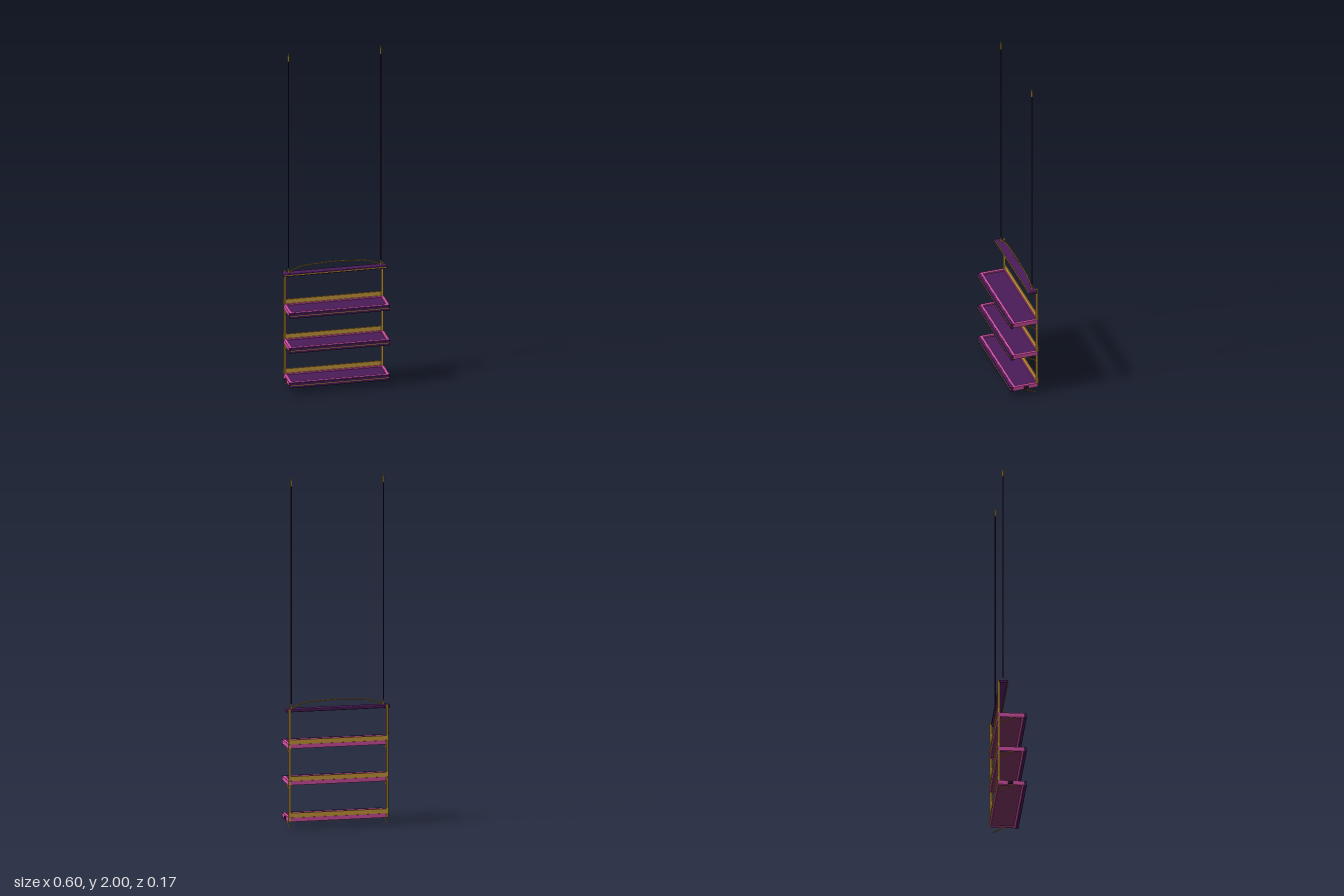
import * as THREE from 'three';
import { RoundedBoxGeometry } from 'three/addons/geometries/RoundedBoxGeometry.js';

const mat = (color) => new THREE.MeshStandardMaterial({ color });
const purple = mat(0x4a1c58), pink = mat(0xd14fa2), gold = mat(0xc9983a), dark = mat(0x2a1633), plum = mat(0x74305c);

function add(parent, name, geometry, material, x = 0, y = 0, z = 0) {
  const m = new THREE.Mesh(geometry, material);
  m.name = name;
  m.position.set(x, y, z);
  parent.add(m);
  return m;
}

// Box given by its min/max limits on each axis
function box(parent, name, material, [x0, x1], [y0, y1], [z0, z1], r = 0) {
  const s = [x1 - x0, y1 - y0, z1 - z0];
  const g = r ? new RoundedBoxGeometry(...s, 3, r) : new THREE.BoxGeometry(...s);
  return add(parent, name, g, material, (x0 + x1) / 2, (y0 + y1) / 2, (z0 + z1) / 2);
}

// Straight round bar between two points
function rod(parent, name, material, a, b, r) {
  const path = new THREE.LineCurve3(new THREE.Vector3(...a), new THREE.Vector3(...b));
  return add(parent, name, new THREE.TubeGeometry(path, 1, r, 8), material);
}

function makeShelf() {
  const s = new THREE.Group();
  s.name = 'shelf';
  // Tray: panel with a lighter underside, inside a raised frame
  box(s, 'shelfPanel', purple, [-0.275, 0.275], [0.05, 0.058], [-0.074, 0.058]);
  box(s, 'panelUnderside', plum, [-0.275, 0.275], [0.046, 0.05], [-0.074, 0.058]);
  box(s, 'trayFront', pink, [-0.288, 0.288], [0.041, 0.066], [0.053, 0.066]);
  box(s, 'trayBack', pink, [-0.288, 0.288], [0.041, 0.066], [-0.08, -0.073]);
  // Front bar with fine trim, and the back rail
  box(s, 'frontBar', purple, [-0.288, 0.288], [0.035, 0.067], [0.065, 0.081], 0.004);
  box(s, 'frontTrim', gold, [-0.286, 0.286], [0.0495, 0.0525], [0.079, 0.083]);
  box(s, 'backRail', gold, [-0.288, 0.288], [0.065, 0.093], [-0.085, -0.078], 0.002);
  for (const k of [-1, 1]) {
    add(s, 'traySide', new THREE.BoxGeometry(0.016, 0.025, 0.14), pink, k * 0.28, 0.0535, -0.007);
    // Diagonal support under each end
    rod(s, 'brace', gold, [k * 0.28, 0.005, -0.067], [k * 0.28, 0.046, 0.012], 0.0035);
  }
  return s;
}

export function createModel() {
  const model = new THREE.Group();
  model.name = 'hangingShelf';

  for (let i = 0; i < 3; i++) {
    const shelf = makeShelf();
    shelf.position.y = i * 0.209;
    model.add(shelf);
  }

  // Top board with trim strip
  box(model, 'topBoard', purple, [-0.298, 0.298], [0.665, 0.682], [-0.073, -0.026], 0.005);
  box(model, 'topTrim', gold, [-0.294, 0.294], [0.672, 0.676], [-0.028, -0.022]);

  // Bowed handle above the board
  const bow = [[-0.264, 0.684], [-0.19, 0.713], [-0.1, 0.721], [0, 0.725], [0.1, 0.721], [0.19, 0.713], [0.264, 0.684]];
  const curve = new THREE.CatmullRomCurve3(bow.map(([x, y]) => new THREE.Vector3(x, y, -0.053)));
  add(model, 'handle', new THREE.TubeGeometry(curve, 24, 0.0035, 8), gold);

  for (const k of [-1, 1]) {
    // Uprights
    add(model, 'post', new RoundedBoxGeometry(0.012, 0.643, 0.013, 2, 0.002), gold, k * 0.28, 0.3625, -0.0755);
    // Hanging cords with ferrules at both ends
    const x = k * 0.265, z = -0.051;
    add(model, 'cord', new THREE.CylinderGeometry(0.003, 0.003, 1.29, 8), dark, x, 1.325, z);
    add(model, 'lowerFerrule', new THREE.CylinderGeometry(0.003, 0.006, 0.03, 10), gold, x, 0.695, z);
    add(model, 'upperFerrule', new THREE.CylinderGeometry(0.0055, 0.0055, 0.03, 10), gold, x, 1.967, z);
    add(model, 'ferruleTip', new THREE.CylinderGeometry(0.002, 0.0055, 0.018, 10), gold, x, 1.991, z);
    // Round knobs on the lowest shelf
    add(model, 'sideKnob', new THREE.CylinderGeometry(0.014, 0.014, 0.014, 20), dark, k * 0.284, 0.052, -0.01);
  }
  return model;
}
